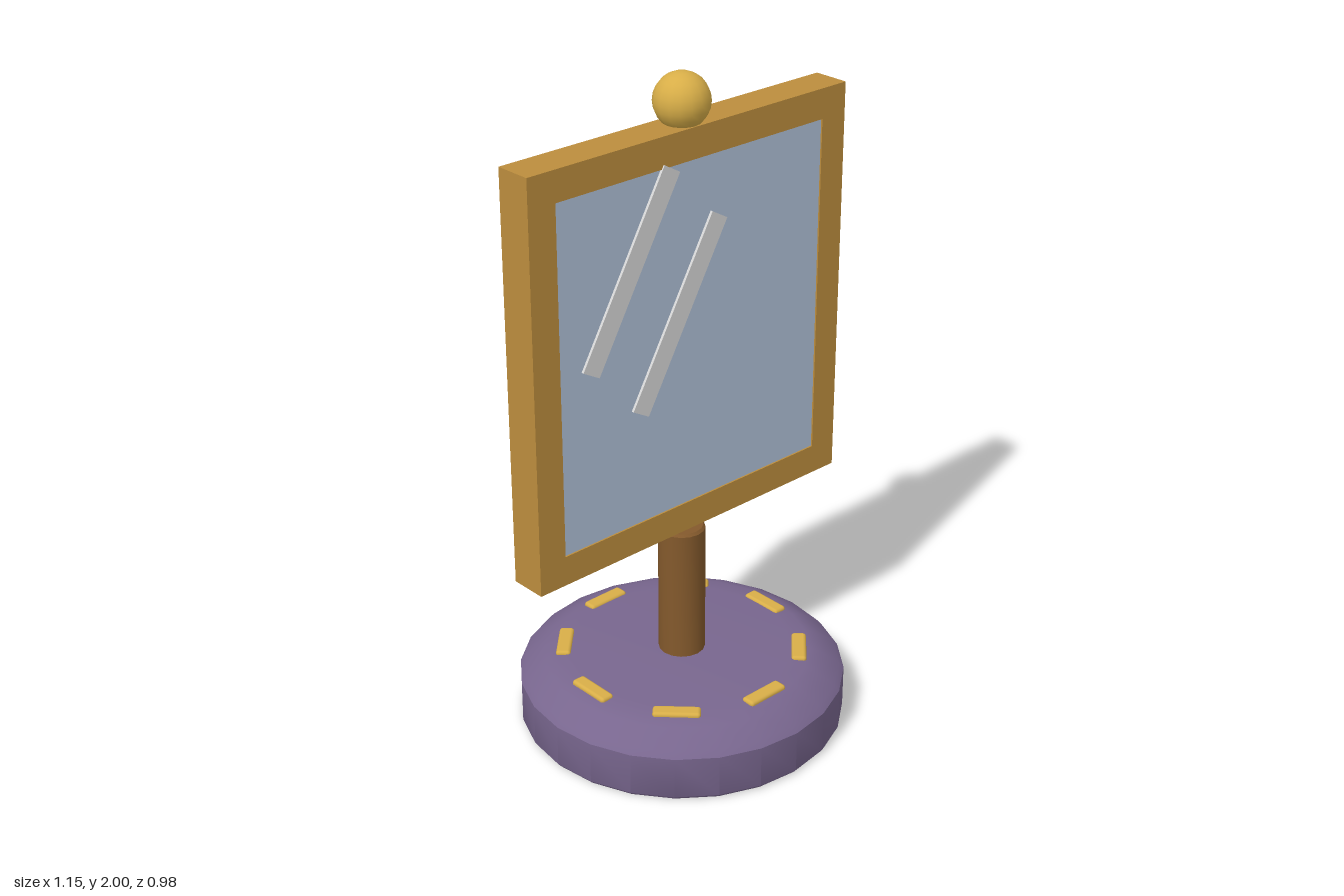
import * as THREE from 'three';
import { RoundedBoxGeometry } from 'three/addons/geometries/RoundedBoxGeometry.js';
import { toCreasedNormals } from 'three/addons/utils/BufferGeometryUtils.js';

const material = (name, color) => {
  const m = new THREE.MeshStandardMaterial({ color });
  m.name = name;
  return m;
};

export function createModel() {
  const purple = material('purple cloth', 0x78668e);
  const gold = material('gold', 0xd8ae48);
  const ochre = material('ochre wood', 0xbc8d3d);
  const brown = material('brown wood', 0x83592c);
  const blue = material('pale blue glass', 0xafc0d6);
  const white = material('glint white', 0xd6d6d6);

  const model = new THREE.Group();
  model.name = 'standMirror';
  const add = (name, geometry, mat, x = 0, y = 0, z = 0) => {
    const mesh = new THREE.Mesh(geometry, mat);
    mesh.name = name;
    mesh.position.set(x, y, z);
    model.add(mesh);
    return mesh;
  };
  const lathe = (points, sides, crease) => toCreasedNormals(
    new THREE.LatheGeometry(points.map(([r, y]) => new THREE.Vector2(r, y)), sides), crease);

  // Cushion base with a softened upper edge
  add('base', lathe([[0, 0], [0.482, 0], [0.49, 0.01], [0.49, 0.14], [0.475, 0.157],
    [0.415, 0.195], [0.385, 0.205], [0.33, 0.21], [0, 0.21]], 24, 0.7), purple);

  // Ring of stitches on the base
  for (let i = 0; i < 8; i++) {
    const a = i * Math.PI / 4;
    const stitch = add('stitch', new RoundedBoxGeometry(0.14, 0.025, 0.045, 2, 0.01), gold,
      Math.sin(a) * 0.353, 0.205, Math.cos(a) * 0.353);
    stitch.rotation.y = a;
  }

  // Post
  add('post', lathe([[0, 0.2], [0.07, 0.2], [0.07, 0.62], [0.063, 0.628], [0, 0.628]], 16, 0.7), brown);

  // Frame with a square opening
  const rect = (path, w, h) => path.moveTo(-w, -h).lineTo(w, -h).lineTo(w, h).lineTo(-w, h).closePath();
  const outline = new THREE.Shape();
  rect(outline, 0.575, 0.608);
  const opening = new THREE.Path();
  rect(opening, 0.485, 0.518);
  outline.holes.push(opening);
  const frameGeometry = new THREE.ExtrudeGeometry(outline, { depth: 0.112, bevelEnabled: false });
  frameGeometry.translate(0, 0, -0.056);
  const midY = 1.252;
  add('frame', frameGeometry, ochre, 0, midY);

  // Glass in front, wooden panel behind
  add('glass', new THREE.BoxGeometry(0.97, 1.036, 0.04), blue, 0, midY, 0.031);
  add('backPanel', new THREE.BoxGeometry(0.97, 1.036, 0.06), brown, 0, midY, -0.021);

  // Slanted glints on the glass
  for (const [x, y] of [[-0.235, 1.51], [-0.06, 1.335]]) {
    const glint = add('glint', new THREE.BoxGeometry(0.064, 0.59, 0.008), white, x, y, 0.056);
    glint.rotation.z = -0.52;
  }

  // Finial ball
  add('finial', new THREE.SphereGeometry(0.08, 16, 12), gold, 0, 1.92);

  return model;
}
